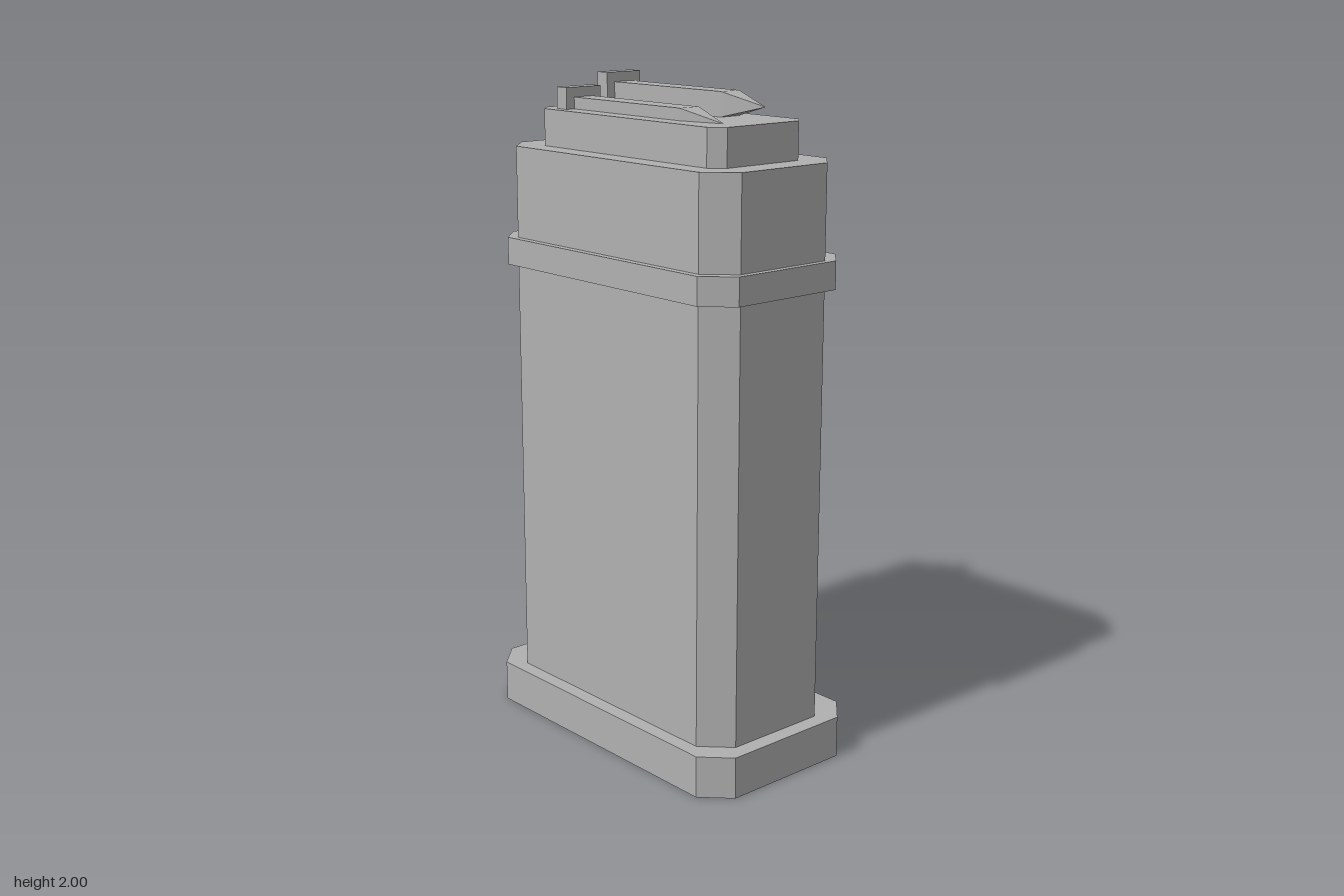
import * as THREE from 'three';

const metal = new THREE.MeshStandardMaterial({ color: 0xb0b0b0, flatShading: true });
metal.name = 'grey metal';

function add(parent, name, geometry, x = 0, y = 0, z = 0) {
  const mesh = new THREE.Mesh(geometry, metal);
  mesh.name = name;
  mesh.position.set(x, y, z);
  parent.add(mesh);
  return mesh;
}

// Upright block with chamfered vertical corners, from y0 to y1
function chamferedBlock(halfX, halfZ, cut, y0, y1) {
  const s = new THREE.Shape([
    [halfX, -halfZ + cut], [halfX, halfZ - cut], [halfX - cut, halfZ], [-halfX + cut, halfZ],
    [-halfX, halfZ - cut], [-halfX, -halfZ + cut], [-halfX + cut, -halfZ], [halfX - cut, -halfZ],
  ].map(([x, y]) => new THREE.Vector2(x, y)));
  return new THREE.ExtrudeGeometry(s, { depth: y1 - y0, bevelEnabled: false })
    .rotateX(-Math.PI / 2).translate(0, y0, 0);
}

// Square round: rim plate, case and four-sided pointed tip along +x
function makeRound(name, y, z) {
  const round = new THREE.Group();
  round.name = name;
  round.position.set(0, y, z);
  add(round, 'rim', new THREE.BoxGeometry(0.046, 0.13, 0.13), -0.314);
  add(round, 'case', new THREE.BoxGeometry(0.471, 0.072, 0.072), -0.0555);
  const tip = new THREE.ConeGeometry(0.036 * Math.SQRT2, 0.145, 4, 1, true)
    .rotateY(Math.PI / 4).rotateZ(-Math.PI / 2);
  add(round, 'tip', tip, 0.2525);
  return round;
}

export function createModel() {
  const model = new THREE.Group();
  model.name = 'magazine';

  // Stepped casing
  add(model, 'basePlate', chamferedBlock(0.538, 0.29, 0.08, 0, 0.127));
  add(model, 'body', chamferedBlock(0.488, 0.244, 0.081, 0.127, 1.79));
  add(model, 'band', chamferedBlock(0.508, 0.267, 0.08, 1.432, 1.515));
  add(model, 'neck', chamferedBlock(0.398, 0.175, 0.039, 1.79, 1.9), 0, 0, -0.003);

  // Two staggered rounds, the front one sunk deeper
  model.add(makeRound('backRound', 1.936, -0.08));
  model.add(makeRound('frontRound', 1.899, 0.076));
  return model;
}
